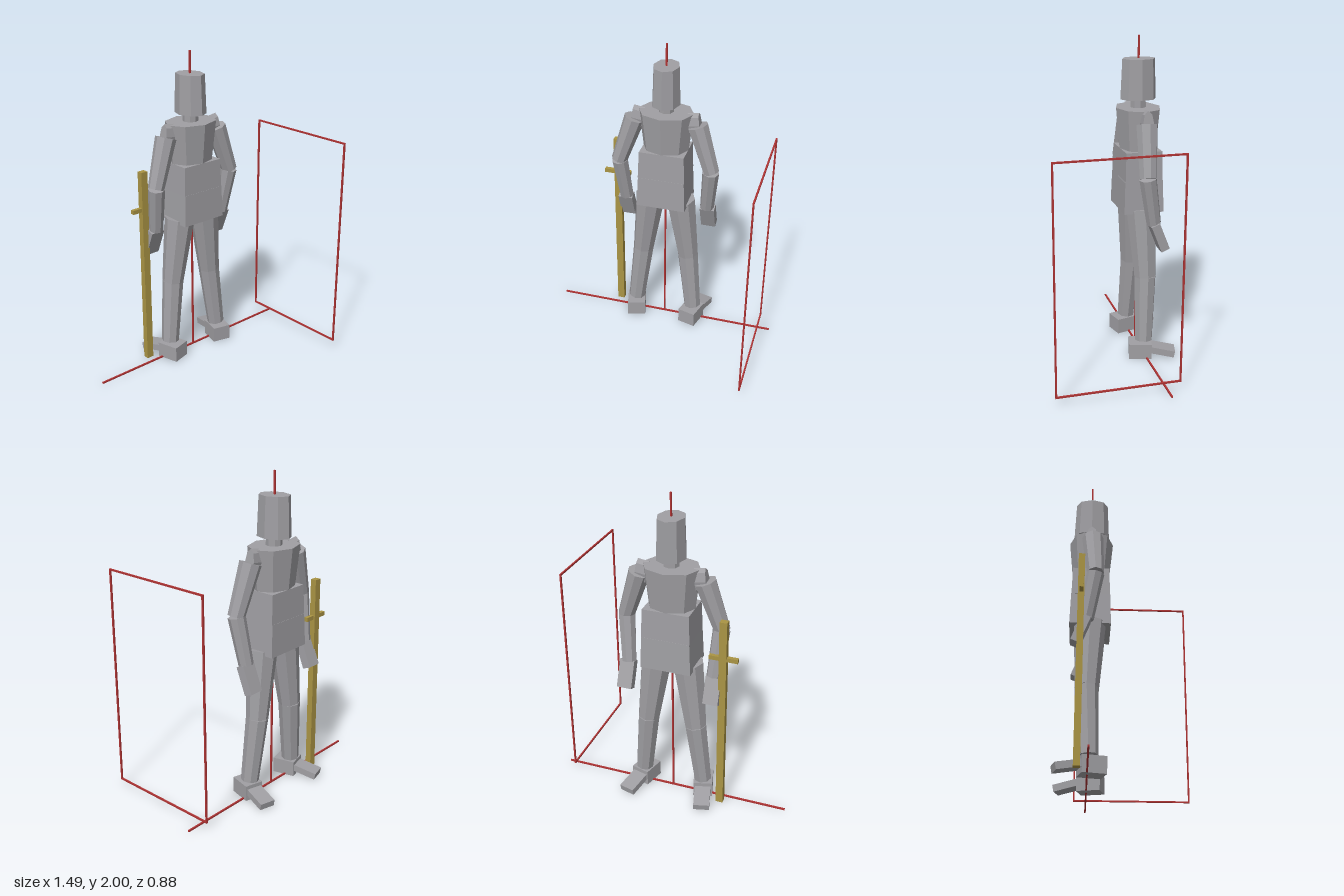
import * as THREE from 'three';

const grey = new THREE.MeshStandardMaterial({ name: 'grey', color: 0xa09fa3, flatShading: true });
const ochre = new THREE.MeshStandardMaterial({ name: 'ochre', color: 0xaa9444 });
const red = new THREE.MeshStandardMaterial({ name: 'red', color: 0xb03434 });
const CZ = -0.24; // depth of the body's axis

function add(parent, name, geo, mat, x = 0, y = 0, z = 0) {
  const m = new THREE.Mesh(geo, mat);
  m.name = name;
  m.position.set(x, y, z);
  parent.add(m);
  return m;
}

const box = (w, h, d) => new THREE.BoxGeometry(w, h, d);

// Eight-sided tapered prism, oval in plan
function prism(rTop, rBottom, h, depth = 1) {
  return new THREE.CylinderGeometry(rTop, rBottom, h, 8).scale(1, 1, depth);
}

// Box with a differing top and bottom size
function taperedBox(wTop, dTop, wBottom, dBottom, h) {
  const g = box(1, h, 1);
  const p = g.attributes.position;
  for (let i = 0; i < p.count; i++) {
    const top = p.getY(i) > 0;
    p.setX(i, p.getX(i) * (top ? wTop : wBottom));
    p.setZ(i, p.getZ(i) * (top ? dTop : dBottom));
  }
  g.computeVertexNormals();
  return g;
}

// Eight-sided limb running from a down to b
function limb(parent, name, a, b, rA, rB) {
  const A = new THREE.Vector3(...a), B = new THREE.Vector3(...b);
  const mid = A.clone().add(B).multiplyScalar(0.5);
  const m = add(parent, name, prism(rA, rB, A.distanceTo(B)), grey, mid.x, mid.y, mid.z);
  m.quaternion.setFromUnitVectors(new THREE.Vector3(0, 1, 0), A.sub(B).normalize());
}

export function createModel() {
  const model = new THREE.Group();
  model.name = 'poseFigure';

  // Head and torso
  add(model, 'head', prism(0.08, 0.088, 0.243, 1.27), grey, 0, 1.742, CZ);
  add(model, 'neck', prism(0.048, 0.048, 0.1), grey, 0, 1.59, CZ);
  add(model, 'chest', prism(0.175, 0.145, 0.25, 0.79), grey, 0, 1.445, CZ);
  add(model, 'waist', taperedBox(0.286, 0.225, 0.3, 0.235, 0.18), grey, 0, 1.23, CZ);
  add(model, 'pelvis', taperedBox(0.297, 0.238, 0.314, 0.25, 0.2), grey, 0, 1.04, CZ);

  for (const s of [1, -1]) {
    const side = s > 0 ? 'left' : 'right';

    // Shoulder and arm
    const shoulder = new THREE.CylinderGeometry(1, 1, 0.07, 8).rotateZ(Math.PI / 2).scale(1, 0.075, 0.033);
    add(model, side + 'Shoulder', shoulder, grey, s * 0.18, 1.505, CZ).rotation.z = s * 0.15;
    limb(model, side + 'UpperArm', [s * 0.2, 1.5, -0.235], [s * 0.3, 1.2, -0.215], 0.066, 0.051);
    limb(model, side + 'Forearm', [s * 0.296, 1.2, -0.215], [s * 0.27, 0.91, -0.265], 0.053, 0.045);
    add(model, side + 'Hand', box(0.094, 0.175, 0.055), grey, s * 0.275, 0.83, -0.295).rotation.x = 0.38;

    // Leg
    limb(model, side + 'Thigh', [s * 0.1, 0.955, -0.24], [s * 0.155, 0.525, -0.253], 0.096, 0.069);
    limb(model, side + 'Shin', [s * 0.155, 0.525, -0.253], [s * 0.2, 0.11, -0.235], 0.069, 0.056);

    // Foot, turned outwards
    const foot = new THREE.Group();
    foot.name = side + 'Foot';
    foot.position.set(s * 0.197, 0, -0.215);
    foot.rotation.y = -s * 0.26;
    add(foot, 'heel', box(0.12, 0.1, 0.143), grey, 0, 0.05, 0);
    add(foot, 'toes', box(0.1, 0.042, 0.165), grey, 0, 0.042, -0.135).rotation.x = -0.2;
    model.add(foot);
  }

  // Sword at the side
  add(model, 'blade', box(0.046, 1.29, 0.038), ochre, -0.336, 0.655, -0.298);
  add(model, 'crossguard', box(0.175, 0.026, 0.025), ochre, -0.3375, 1.057, -0.296);

  // Guide rods and the upright frame
  const t = 0.01;
  add(model, 'verticalGuide', box(t, 2, t), red, 0, 1, CZ);
  add(model, 'floorGuide', box(1.49, t, t), red, 0, 0.005, CZ);
  for (const y of [0.06, 1.437]) add(model, 'frameRail', box(t, t, 0.755), red, 0.67, y, 0.058);
  for (const z of [-0.315, 0.431]) add(model, 'framePost', box(t, 1.387, t), red, 0.67, 0.7485, z);

  return model;
}
